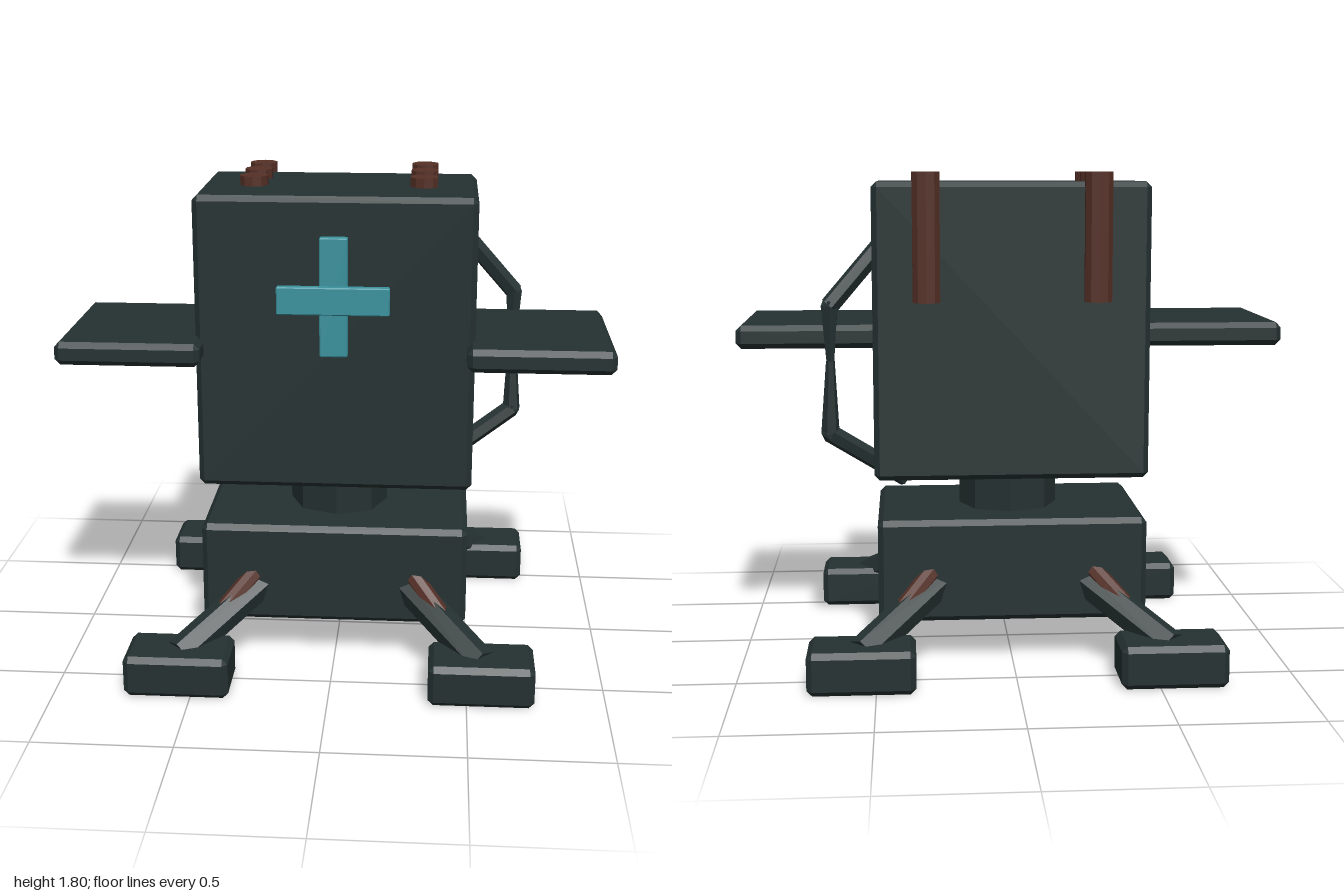
import * as THREE from 'three';
import { ConvexGeometry } from 'three/addons/geometries/ConvexGeometry.js';

const mat = (name, color) => Object.assign(new THREE.MeshStandardMaterial({ color, flatShading: true }), { name });

export function createModel() {
  const root = new THREE.Group();
  root.name = 'medicalRobot';
  const dark = mat('darkMetal', 0x253131);
  const rust = mat('rustyCopper', 0x553026);
  const teal = mat('tealPaint', 0x3a929d);

  const add = (name, geo, material) => {
    const m = new THREE.Mesh(geo, material);
    m.name = name;
    root.add(m);
    return m;
  };

  // Chamfered box given by its min/max extents
  const box = (name, [x0, x1], [y0, y1], [z0, z1], material = dark, c = 0.02) => {
    const h = [(x1 - x0) / 2, (y1 - y0) / 2, (z1 - z0) / 2];
    const pts = [];
    for (const sx of [-1, 1]) for (const sy of [-1, 1]) for (const sz of [-1, 1])
      for (let full = 0; full < 3; full++) {
        const p = [sx, sy, sz].map((s, i) => s * (h[i] - (i === full ? 0 : c)));
        pts.push(new THREE.Vector3(...p));
      }
    const m = add(name, new ConvexGeometry(pts), material);
    m.position.set((x0 + x1) / 2, (y0 + y1) / 2, (z0 + z1) / 2);
    return m;
  };

  // Rod between two points, optionally tapered
  const rod = (name, a, b, r0, r1 = r0, material = dark, sides = 6) => {
    const A = new THREE.Vector3(...a), B = new THREE.Vector3(...b);
    const d = B.clone().sub(A);
    const m = add(name, new THREE.CylinderGeometry(r1, r0, d.length(), sides), material);
    m.position.copy(A).add(B).multiplyScalar(0.5);
    m.quaternion.setFromUnitVectors(new THREE.Vector3(0, 1, 0), d.normalize());
    return m;
  };

  // Body, neck and base
  box('upperBody', [-0.505, 0.505], [0.68, 1.765], [-0.28, 0.28]);
  box('base', [-0.495, 0.495], [0.16, 0.54], [-0.327, 0.327]);
  rod('neck', [0, 0.5, 0], [0, 0.72, 0], 0.186, 0.186, dark, 8);

  // Cross on the chest
  box('crossUpright', [-0.05, 0.05], [1.2, 1.63], [0.295, 0.333], teal, 0.004);
  box('crossBar', [-0.2, 0.2], [1.36, 1.46], [0.328, 0.362], teal, 0.004);

  for (const s of [-1, 1]) {
    const side = s > 0 ? 'left' : 'right';
    const span = (a, b) => (s > 0 ? [a, b] : [-b, -a]);

    // Side tray
    box(side + 'Tray', span(0.475, 1), [1.165, 1.25], [-0.237, 0.388]);

    // Roof studs and long back pipe
    for (const z of [0.03, -0.127])
      rod(side + 'Stud', [s * 0.31, 1.7, z], [s * 0.31, 1.8, z], 0.052, 0.052, rust, 10);
    rod(side + 'BackPipe', [s * 0.31, 1.335, -0.283], [s * 0.31, 1.8, -0.283], 0.052, 0.052, rust, 10);

    // Legs with copper pistons and block feet
    for (const t of [-1, 1]) {
      const name = side + (t > 0 ? 'Front' : 'Back');
      const at = (d, y) => [s * d, y, t * d];
      rod(name + 'Leg', at(0.2, 0.345), at(0.55, 0.12), 0.06);
      rod(name + 'Piston', at(0.21, 0.43), at(0.42, 0.22), 0.035, 0.035, rust, 8);
      box(name + 'Foot', span(0.36, 0.742), [0, 0.155], t > 0 ? [0.44, 0.67] : [-0.67, -0.44]);
    }
  }

  // Bent cable on the left side, narrowing along the middle stretch
  const top = [0.66, 1.32, -0.23], mid = [0.66, 1.12, -0.225], low = [0.665, 0.85, -0.212];
  rod('cableTop', [0.42, 1.6, -0.19], top, 0.035);
  rod('cableUpperMiddle', top, mid, 0.034, 0.016);
  rod('cableLowerMiddle', mid, low, 0.016, 0.034);
  rod('cableBottom', low, [0.39, 0.665, -0.13], 0.035);
  for (const p of [top, low]) add('cableBend', new THREE.IcosahedronGeometry(0.036, 0), dark).position.set(...p);

  return root;
}
